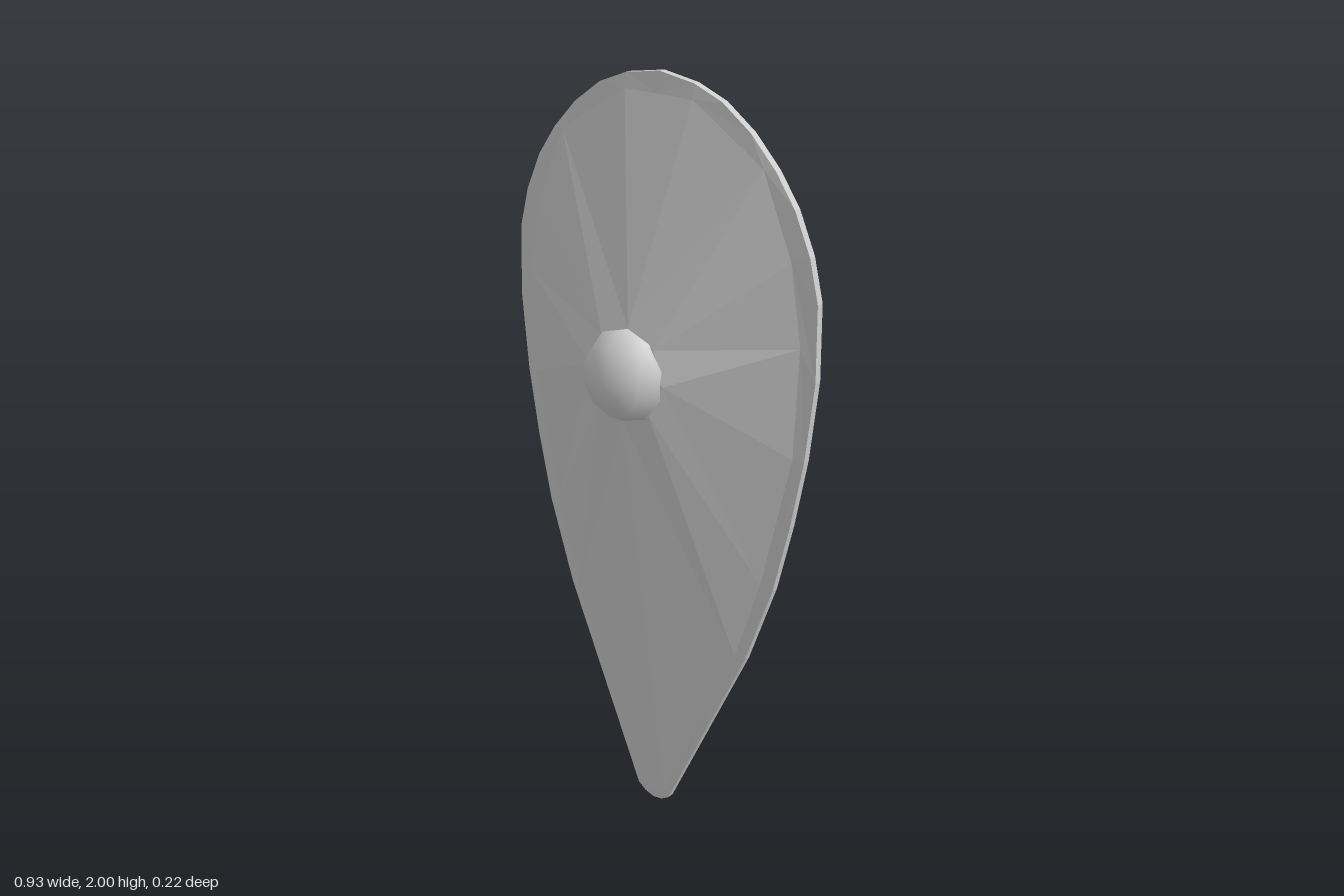
import * as THREE from 'three';
import { mergeVertices } from 'three/addons/utils/BufferGeometryUtils.js';

const V = (x, y, z) => new THREE.Vector3(x, y, z);
const HUB_Y = 1.31;

// Left half of the teardrop outline, top to bottom
const OUTLINE = [
  [0, 2], [0.1, 1.985], [0.18, 1.955], [0.26, 1.9], [0.33, 1.83], [0.385, 1.755], [0.43, 1.66],
  [0.457, 1.56], [0.463, 1.38], [0.445, 1.18], [0.415, 1.0], [0.375, 0.815], [0.3, 0.585],
  [0.055, 0.025], [0.03, 0.007], [0, 0],
];

// Coarser half outline where the raised face meets the rim
const FACE = [
  [0, 1.95], [0.1, 1.95], [0.3, 1.83], [0.385, 1.64], [0.42, 1.45],
  [0.415, 1.18], [0.34, 0.82], [0.27, 0.585], [0.04, 0.04], [0, 0.03],
];

// Point of the octagonal hub nearest in direction to (x, y)
function hubPoint(x, y, radius, zAt) {
  const step = Math.PI / 4;
  const a = Math.round(Math.atan2(y - HUB_Y, x) / step) * step;
  return V(radius * Math.cos(a), HUB_Y + radius * Math.sin(a), zAt(a));
}

// Facets between an outer and an inner half ring, mirrored to the other side
function strip(out, a, b) {
  const flip = (p) => V(-p.x, p.y, p.z);
  const tri = (p, q, r) => {
    const area = q.clone().sub(p).cross(r.clone().sub(p)).length();
    const onMirror = [p, q, r].every((v) => Math.abs(v.x) < 1e-6);
    if (area > 1e-7 && !onMirror) out.push(p, q, r, flip(p), flip(r), flip(q));
  };
  for (let i = 0; i < a.length - 1; i++) {
    tri(a[i], b[i], a[i + 1]);
    tri(a[i + 1], b[i], b[i + 1]);
  }
}

function facetMesh(name, points, material) {
  const geometry = new THREE.BufferGeometry().setFromPoints(points);
  geometry.computeVertexNormals();
  const mesh = new THREE.Mesh(geometry, material);
  mesh.name = name;
  return mesh;
}

export function createModel() {
  const group = new THREE.Group();
  group.name = 'shield';
  const flat = new THREE.MeshStandardMaterial({ color: 0xcccccc, flatShading: true });
  const smooth = new THREE.MeshStandardMaterial({ color: 0xcccccc });

  // Narrow rim and its edge
  const edgeBack = OUTLINE.map(([x, y]) => V(x, y, -0.108));
  const edgeFront = OUTLINE.map(([x, y]) => V(x, y, -0.09));
  const faceEdge = FACE.map(([x, y]) => V(x, y, -0.086));
  const rimInner = edgeFront.map((p) =>
    faceEdge.reduce((best, q) => (p.distanceTo(q) < p.distanceTo(best) ? q : best)));
  const rim = [];
  strip(rim, edgeBack, edgeFront);
  strip(rim, edgeFront, rimInner);
  group.add(facetMesh('rim', rim, flat));

  // Raised front face
  const hubFront = FACE.map(([x, y]) => hubPoint(x, y, 0.115, (a) => 0.025 - 0.01 * Math.sin(a)));
  const front = [];
  strip(front, faceEdge, hubFront);
  strip(front, hubFront, hubFront.map(() => V(0, HUB_Y, 0.03)));
  group.add(facetMesh('frontFace', front, flat));

  // Back face: a hollow hub, a groove running down from it, and a flat lower tip
  const hollow = OUTLINE.map(([x, y]) => {
    if (y < 0.5) return V(0, 0.585, -0.108);
    if (y < 0.7) return V(0, 0.81, -0.065);
    if (y < 0.9) return V(0, 0.95, -0.045);
    return hubPoint(x, y, 0.11, () => -0.005);
  });
  const back = [];
  strip(back, hollow, edgeBack);
  strip(back, hollow.map(() => V(0, HUB_Y, 0.008)), hollow);
  group.add(facetMesh('backFace', back, flat));

  // Domed boss, smooth over its tip
  const profile = [[0.113, 0.008], [0.116, 0.03], [0.09, 0.077], [0, 0.108]]
    .map(([r, h]) => new THREE.Vector2(r, h));
  const dome = new THREE.LatheGeometry(profile, 10);
  dome.deleteAttribute('uv');
  dome.deleteAttribute('normal');
  const domeGeometry = mergeVertices(dome, 1e-4);
  domeGeometry.computeVertexNormals();
  const boss = new THREE.Mesh(domeGeometry, smooth);
  boss.name = 'boss';
  boss.rotation.x = Math.PI / 2;
  boss.position.y = HUB_Y;
  group.add(boss);

  return group;
}
